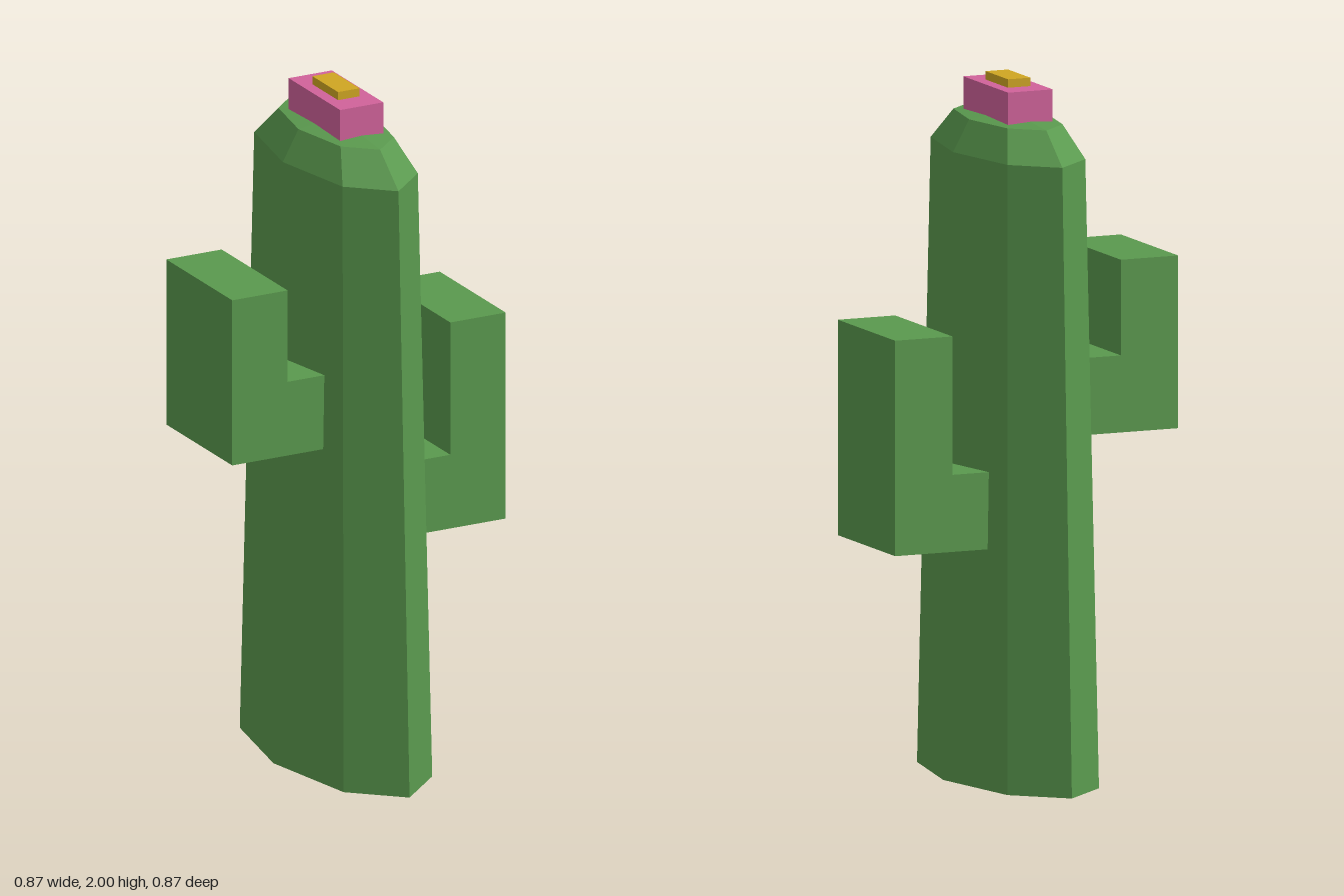
import * as THREE from 'three';

const material = (name, color) => {
  const m = new THREE.MeshStandardMaterial({ color });
  m.name = name;
  return m;
};

export function createModel() {
  const green = material('cactus green', 0x5a994e);
  const pink = material('petal pink', 0xd0629a);
  const yellow = material('flower yellow', 0xcfa622);
  const group = new THREE.Group();
  group.name = 'cactus';

  const add = (name, geometry, mat) => {
    const mesh = new THREE.Mesh(geometry, mat);
    mesh.name = name;
    group.add(mesh);
    return mesh;
  };

  // Tapered eight-sided trunk with a bevelled crown, stretched along z
  const profile = [[0, 0], [0.2, 0], [0.17, 1.79], [0.12, 1.88], [0, 1.9]]
    .map(([r, y]) => new THREE.Vector2(r, y));
  let trunk = new THREE.LatheGeometry(profile, 8);
  trunk.scale(1, 1, 2.185);
  trunk = trunk.toNonIndexed();
  trunk.computeVertexNormals(); // faceted sides
  add('trunk', trunk, green);

  // L-shaped arms, rooted inside the trunk
  const arm = (name, side, bottom, elbow, top) => {
    const outline = [[0.1, bottom], [0.437, bottom], [0.437, top], [0.26, top], [0.26, elbow], [0.1, elbow]]
      .map(([x, y]) => new THREE.Vector2(side * x, y));
    const geometry = new THREE.ExtrudeGeometry(new THREE.Shape(outline), { depth: 0.392, bevelEnabled: false });
    geometry.translate(0, 0, -0.196);
    add(name, geometry, green);
  };
  arm('leftArm', 1, 0.685, 0.905, 1.3);
  arm('rightArm', -1, 0.99, 1.21, 1.483);

  // Flower on the crown
  const block = (name, w, d, y0, y1, mat) => {
    add(name, new THREE.BoxGeometry(w, y1 - y0, d), mat).position.y = (y0 + y1) / 2;
  };
  block('flowerPetals', 0.138, 0.306, 1.88, 1.976, pink);
  block('flowerCentre', 0.069, 0.153, 1.95, 2, yellow);

  return group;
}
